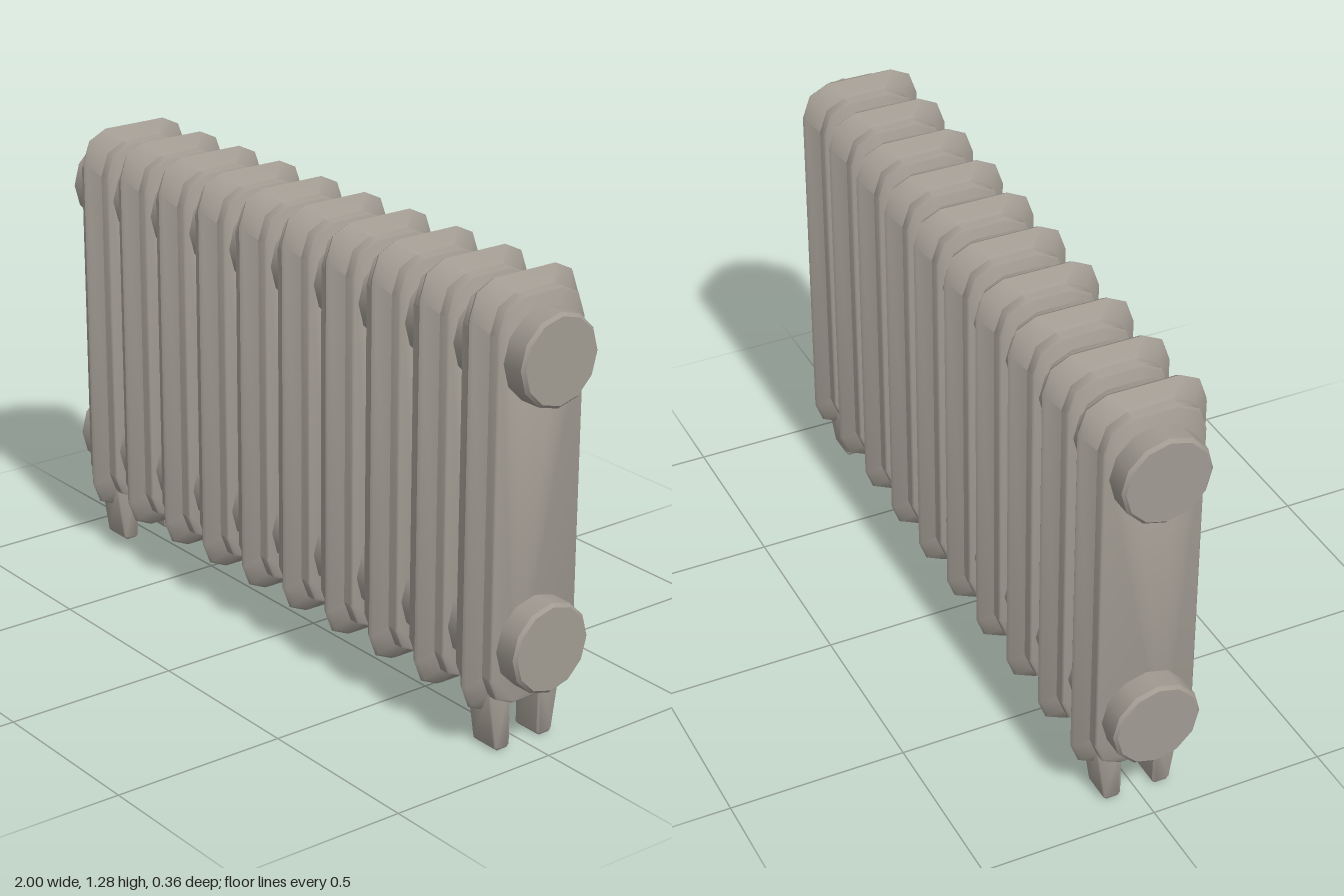
import * as THREE from 'three';
import { toCreasedNormals } from 'three/addons/utils/BufferGeometryUtils.js';

// Closed section outline (z, y) at the ridge, pulled in by d
function outline(d) {
  const upper = [[0.178, 1.19], [0.155, 1.255], [0.1, 1.282]];
  const quarter = upper.map(([z, y]) => [z - d, y - d]);
  const lower = [[0.1, 0.105], [0.155, 0.13], [0.178, 0.19]].map(([z, y]) => [z - d, y + d]);
  const right = [...lower, ...quarter];
  const left = [...right].reverse().map(([z, y]) => [-z, y]);
  return [...right, ...left];
}

// Loft of outlines along x: flat shoulders with a raised central ridge
function sectionGeometry() {
  const rings = [[-0.071, 0.041], [-0.066, 0.036], [-0.037, 0.036], [-0.01, 0.005], [0, 0],
    [0.01, 0.005], [0.037, 0.036], [0.066, 0.036], [0.071, 0.041]];
  const pos = [], index = [], n = 12;
  for (const [x, d] of rings) for (const [z, y] of outline(d)) pos.push(x, y, z);
  for (let r = 0; r < rings.length - 1; r++) {
    for (let i = 0; i < n; i++) {
      const a = r * n + i, b = r * n + (i + 1) % n;
      index.push(a, a + n, b, b, a + n, b + n);
    }
  }
  // Flat end caps
  const last = (rings.length - 1) * n;
  for (let i = 1; i < n - 1; i++) {
    index.push(0, i, i + 1);
    index.push(last, last + i + 1, last + i);
  }
  const g = new THREE.BufferGeometry();
  g.setAttribute('position', new THREE.Float32BufferAttribute(pos, 3));
  g.setIndex(index);
  return toCreasedNormals(g, 0.9);
}

// Twelve-sided pipe along x with softened rims
function pipeGeometry() {
  const r = 0.126;
  const profile = [[0, -1], [r - 0.009, -1], [r, -0.991], [r, 0.991], [r - 0.009, 1], [0, 1]]
    .map(([x, y]) => new THREE.Vector2(x, y));
  const g = new THREE.LatheGeometry(profile, 12);
  g.rotateZ(Math.PI / 2);
  return toCreasedNormals(g, 0.7);
}

// Tapered foot: side silhouette (z, y) extruded across x
function footGeometry() {
  const s = new THREE.Shape();
  s.moveTo(0.048, 0.2);
  s.lineTo(0.048, 0.009);
  s.lineTo(0.056, 0);
  s.lineTo(0.089, 0);
  s.lineTo(0.098, 0.009);
  s.lineTo(0.122, 0.165);
  s.lineTo(0.115, 0.2);
  const g = new THREE.ExtrudeGeometry(s, {
    depth: 0.082, bevelEnabled: true, bevelSize: 0.004, bevelOffset: -0.004,
    bevelThickness: 0.004, bevelSegments: 1,
  });
  g.translate(0, 0, -0.041);
  g.rotateY(-Math.PI / 2);
  return toCreasedNormals(g, 0.9);
}

export function createModel() {
  const radiator = new THREE.Group();
  radiator.name = 'radiator';
  const castIron = new THREE.MeshStandardMaterial({ color: 0xa09a91 });
  castIron.name = 'warm grey cast iron';

  const add = (geometry, name, x, y = 0, turn = 0) => {
    const mesh = new THREE.Mesh(geometry, castIron);
    mesh.name = name;
    mesh.position.set(x, y, 0);
    mesh.rotation.y = turn;
    radiator.add(mesh);
  };

  // Ten evenly spaced ribbed sections
  const section = sectionGeometry(), count = 10, end = 0.857;
  for (let i = 0; i < count; i++) {
    add(section, `section${i + 1}`, -end + (2 * end * i) / (count - 1));
  }

  // Upper and lower connecting pipes
  const pipe = pipeGeometry();
  add(pipe, 'upperPipe', 0, 1.084);
  add(pipe, 'lowerPipe', 0, 0.304);

  // A pair of feet below each end section
  const foot = footGeometry();
  for (const side of [-1, 1]) {
    const label = side > 0 ? 'left' : 'right';
    add(foot, `${label}FrontFoot`, side * end);
    add(foot, `${label}BackFoot`, side * end, 0, Math.PI);
  }
  return radiator;
}
